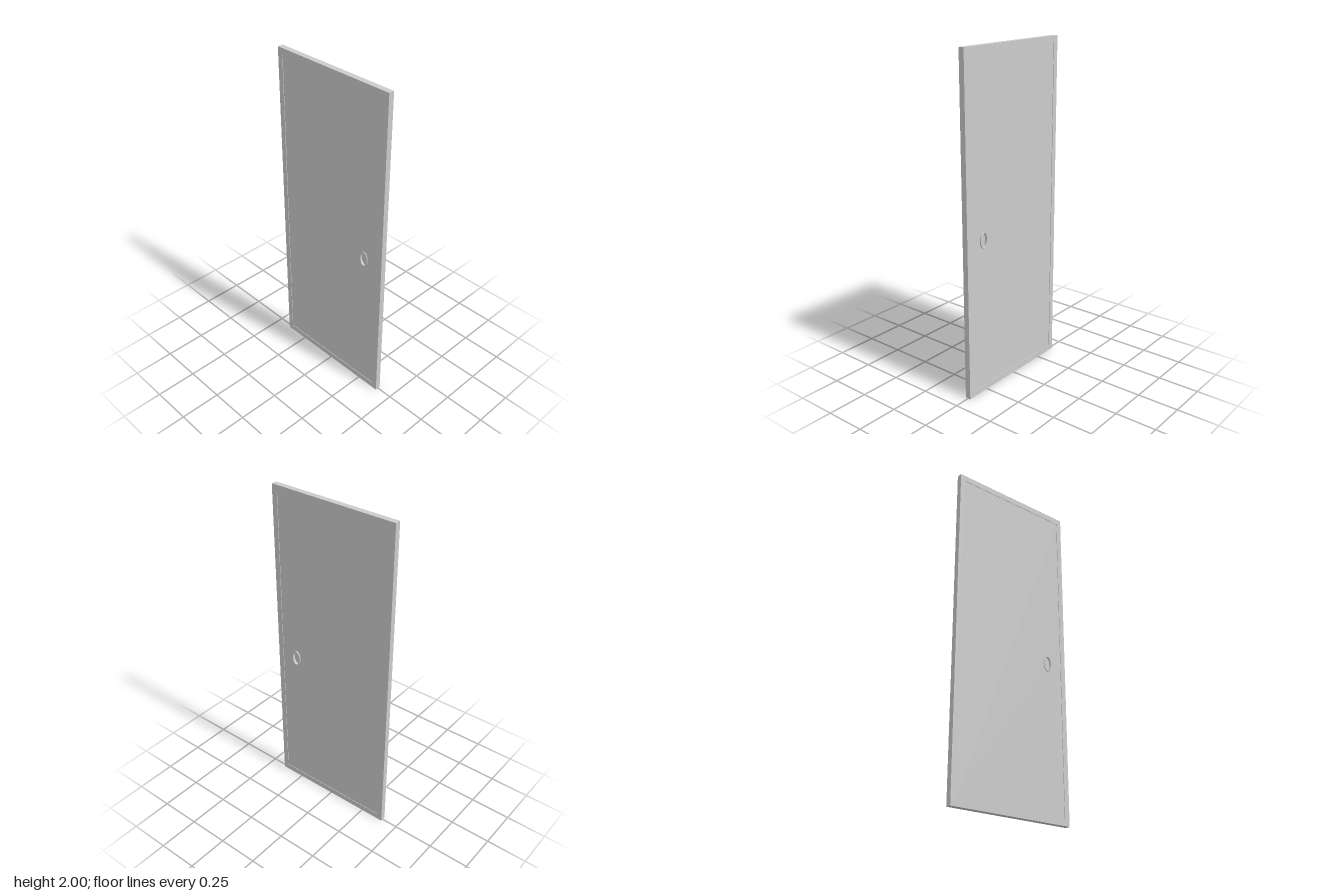
import * as THREE from 'three';

const X0 = -0.0185, X1 = 0.0155;     // door faces
const RECESS = 0.003;                // depth of the field inside the frame
const PULL = { z: 0.264, y: 0.94 };  // centre of the oval flush pull

const material = new THREE.MeshStandardMaterial({ color: 0xcccccc });

// Rectangle outline in the (z, y) plane
function rect(path, z, y0, y1) {
  path.moveTo(-z, y0);
  path.lineTo(z, y0);
  path.lineTo(z, y1);
  path.lineTo(-z, y1);
  path.closePath();
  return path;
}

function oval(path, rz, ry) {
  path.absellipse(PULL.z, PULL.y, rz, ry, 0, Math.PI * 2, false, 0);
  return path;
}

// Extrude a (z, y) shape so that it fills x from a to b
function slab(name, shape, a, b, bevel = 0) {
  const geometry = new THREE.ExtrudeGeometry(shape, {
    depth: b - a - 2 * bevel,
    curveSegments: 40,
    bevelEnabled: bevel > 0,
    bevelThickness: bevel,
    bevelSize: bevel,
    bevelOffset: -bevel,
    bevelSegments: 3,
  });
  geometry.rotateY(-Math.PI / 2);
  geometry.translate(b - bevel, 0, 0);
  const mesh = new THREE.Mesh(geometry, material);
  mesh.name = name;
  return mesh;
}

export function createModel() {
  const door = new THREE.Group();
  door.name = 'door';

  // Narrow border around the door
  const border = rect(new THREE.Shape(), 0.4, 0, 2);
  border.holes.push(rect(new THREE.Path(), 0.367, 0.037, 1.963));
  door.add(slab('frame', border, X0, X1));

  // Recessed field, opened for the pull
  const field = rect(new THREE.Shape(), 0.367, 0.037, 1.963);
  field.holes.push(oval(new THREE.Path(), 0.024, 0.044));
  door.add(slab('panel', field, X0 + RECESS, X1 - RECESS));

  // Floor of the finger pockets on both faces
  door.add(slab('pullFloor', oval(new THREE.Shape(), 0.025, 0.045), -0.006, 0.003));

  // Raised oval rims on both faces
  for (const [name, a, b] of [['leftPullRim', 0.008, 0.02], ['rightPullRim', -0.02, -0.011]]) {
    const rim = oval(new THREE.Shape(), 0.0295, 0.0495);
    rim.holes.push(oval(new THREE.Path(), 0.0225, 0.0425));
    door.add(slab(name, rim, a, b, 0.0015));
  }

  return door;
}
